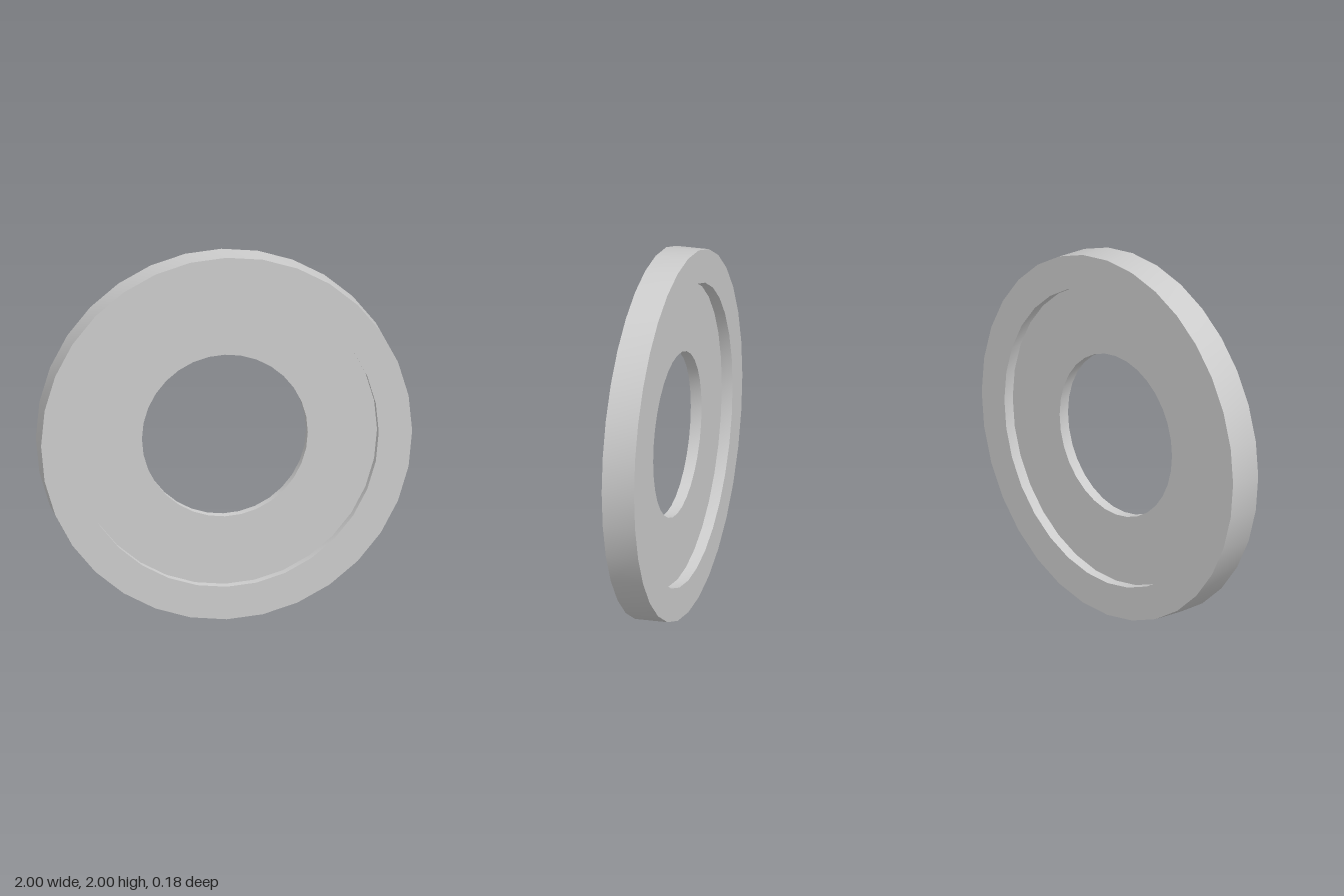
import * as THREE from 'three';
import { toCreasedNormals } from 'three/addons/utils/BufferGeometryUtils.js';

const SIDES = 32;
const OUTER = 1, STEP = 0.82, HOLE = 0.447; // radii
const RIM = 0.09, WEB = 0.03;               // half thicknesses

export function createModel() {
  const group = new THREE.Group();
  group.name = 'ring';

  // Closed cross-section: thick outer rim, thin recessed web, open centre
  const profile = [
    [HOLE, -WEB], [STEP, -WEB], [STEP, -RIM], [OUTER, -RIM],
    [OUTER, RIM], [STEP, RIM], [STEP, WEB], [HOLE, WEB], [HOLE, -WEB],
  ].map(([r, h]) => new THREE.Vector2(r, h));

  const geometry = toCreasedNormals(new THREE.LatheGeometry(profile, SIDES), Math.PI / 6);
  geometry.rotateX(Math.PI / 2); // stand upright, axis along z

  const disc = new THREE.Mesh(geometry, new THREE.MeshStandardMaterial({ color: 0xcccccc }));
  disc.name = 'recessedRingDisc';
  disc.position.y = OUTER;
  group.add(disc);
  return group;
}
